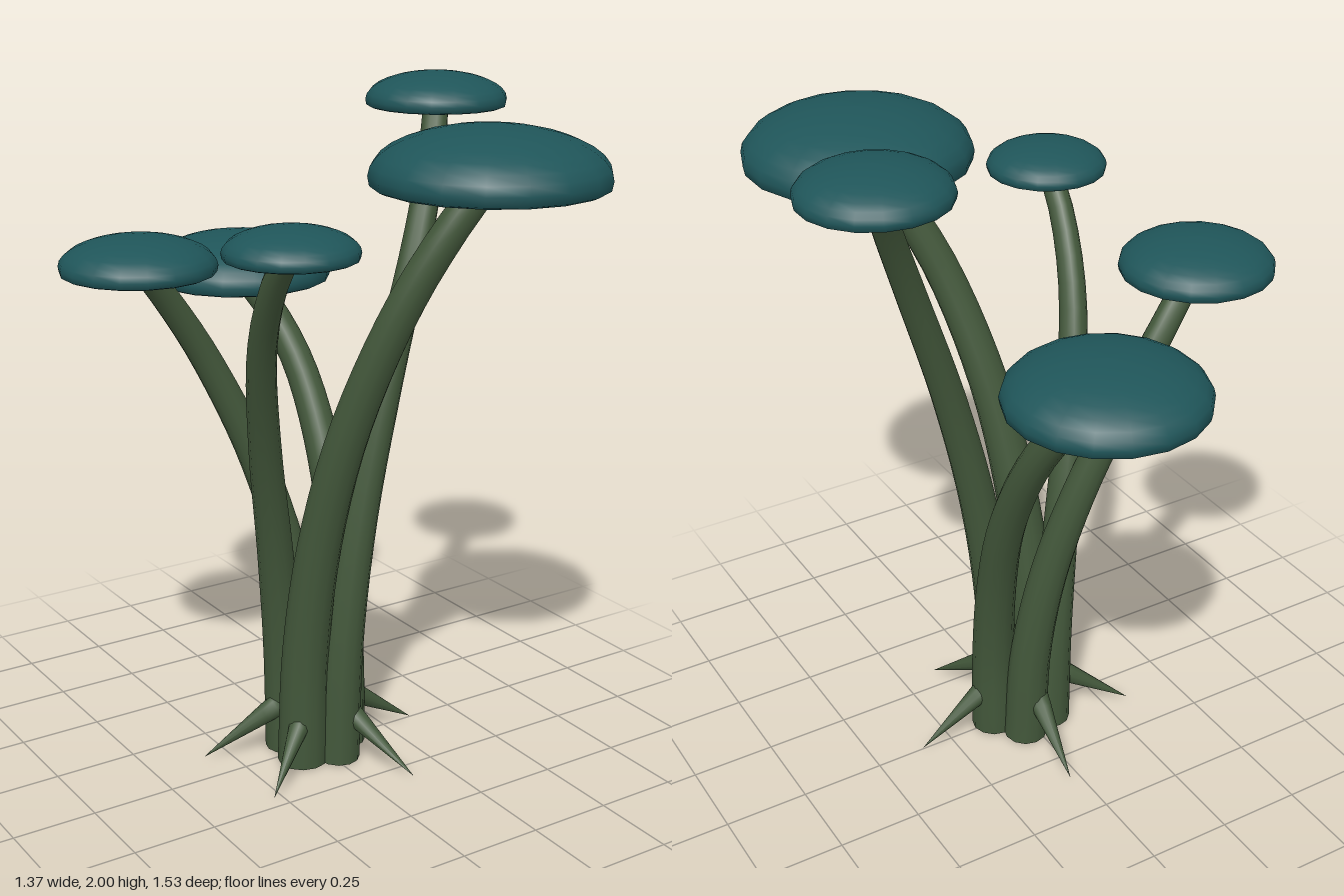
import * as THREE from 'three';

const mat = (name, color, side = THREE.FrontSide) => {
  const m = new THREE.MeshStandardMaterial({ color, side });
  m.name = name;
  return m;
};

// Each mushroom: cap centre x, z, cap radius, rim height, top height, stem radii
const mushrooms = [
  { x: 0.482, z: -0.105, r: 0.207, y0: 1.9, y1: 2.0, foot: 0.066, neck: 0.037 },
  { x: 0.262, z: 0.44, r: 0.325, y0: 1.765, y1: 1.93, foot: 0.075, neck: 0.046 },
  { x: -0.327, z: 0.395, r: 0.178, y0: 1.635, y1: 1.72, foot: 0.064, neck: 0.034 },
  { x: -0.468, z: -0.175, r: 0.22, y0: 1.505, y1: 1.61, foot: 0.067, neck: 0.037 },
  { x: 0.03, z: -0.485, r: 0.28, y0: 1.37, y1: 1.51, foot: 0.069, neck: 0.042 },
];

// Stem path: leans outwards as it rises while swirling round the middle
function stemCurve({ x, z, y0 }) {
  const reach = Math.hypot(x, z), ux = x / reach, uz = z / reach;
  const sway = [[0, 0.092], [0.2, 0.1], [0.4, 0.113], [0.6, 0.124], [0.8, 0.108], [0.92, 0.06], [1, 0]];
  return new THREE.CatmullRomCurve3(sway.map(([t, v]) => {
    const u = reach * Math.pow(t, 2.2);
    return new THREE.Vector3(ux * u - uz * v, t * (y0 + 0.03), uz * u + ux * v);
  }));
}

function taperedTube(curve, r0, r1, steps = 24, sides = 12) {
  const geo = new THREE.TubeGeometry(curve, steps, 1, sides);
  const pos = geo.attributes.position, p = new THREE.Vector3();
  for (let i = 0; i <= steps; i++) {
    const c = curve.getPointAt(i / steps), r = r0 + (r1 - r0) * (i / steps);
    for (let j = 0; j <= sides; j++) {
      const k = i * (sides + 1) + j;
      p.fromBufferAttribute(pos, k).sub(c).multiplyScalar(r).add(c);
      pos.setXYZ(k, p.x, Math.max(p.y, 0), p.z);
    }
  }
  return geo;
}

// Dome with a rounded lip that curls under at the rim
function capProfile(r, h) {
  const lip = h * 0.2;
  const pts = [[0.91, 0.1], [0.94, 0], [0.985, 0.04], [1, 0.2]]
    .map(([x, y]) => new THREE.Vector2(r * x, h * y));
  for (let i = 1; i <= 8; i++) {
    const a = (i / 8) * Math.PI / 2;
    pts.push(new THREE.Vector2(i === 8 ? 0 : r * Math.cos(a), lip + (h - lip) * Math.sin(a)));
  }
  return pts;
}

// Thin light blades radiating under the cap, in varied lengths
function gillShapes(r) {
  const shapes = [], count = 24, lengths = [0.84, 0.62, 0.76, 0.56];
  for (let i = 0; i < count; i++) {
    const a = (i / count) * Math.PI * 2, len = lengths[i % 4] * r;
    const at = (d, w) => new THREE.Vector2(
      d * Math.cos(a) - w * Math.sin(a), d * Math.sin(a) + w * Math.cos(a));
    shapes.push(new THREE.Shape([
      at(r * 0.12, 0), at(r * 0.36, -r * 0.032), at(len, 0), at(r * 0.36, r * 0.032)]));
  }
  return shapes;
}

export function createModel() {
  const stemMat = mat('mossy stem', 0x43583b);
  const capMat = mat('teal cap', 0x1f5559);
  const gillMat = mat('pale gills', 0xa4f0e0, THREE.DoubleSide);
  const model = new THREE.Group();
  model.name = 'mushroomCluster';

  const add = (parent, name, geo, material) => {
    const m = new THREE.Mesh(geo, material);
    m.name = name;
    parent.add(m);
    return m;
  };

  for (const s of mushrooms) {
    const mushroom = new THREE.Group();
    mushroom.name = 'mushroom';
    model.add(mushroom);

    // Stem with a closed foot
    const curve = stemCurve(s), foot = curve.getPoint(0);
    add(mushroom, 'stem', taperedTube(curve, s.foot, s.neck), stemMat);
    const sole = add(mushroom, 'stemFoot', new THREE.CircleGeometry(s.foot, 12), stemMat);
    sole.rotation.x = Math.PI / 2;
    sole.position.set(foot.x, 0.004, foot.z);

    // Cap, recessed underside and gills
    const cap = new THREE.Group(), h = s.y1 - s.y0;
    cap.name = 'cap';
    cap.position.set(s.x, s.y0, s.z);
    mushroom.add(cap);
    add(cap, 'capDome', new THREE.LatheGeometry(capProfile(s.r, h), 18), capMat);
    const under = add(cap, 'capUnderside', new THREE.CircleGeometry(s.r * 0.91, 18), capMat);
    under.rotation.set(Math.PI / 2, 0, Math.PI / 2);
    under.position.y = h * 0.1;
    const gills = add(cap, 'gills', new THREE.ShapeGeometry(gillShapes(s.r)), gillMat);
    gills.rotation.x = Math.PI / 2;
    gills.position.y = h * 0.1 - 0.005;
  }

  // Pointed roots spreading from the foot of the cluster
  for (const deg of [0, 67, 143, 199, 275]) {
    const a = THREE.MathUtils.degToRad(deg), c = Math.cos(a), n = Math.sin(a);
    const top = new THREE.Vector3(c * 0.125, 0.15, n * 0.125);
    const tip = new THREE.Vector3(c * 0.35, 0.003, n * 0.35);
    const dir = tip.clone().sub(top), len = dir.length();
    const profile = [[0, -0.03], [0.024, -0.022], [0.034, 0], [0.03, 0.04], [0, len]];
    const root = add(model, 'root', new THREE.LatheGeometry(
      profile.map(([x, y]) => new THREE.Vector2(x, y)), 10), stemMat);
    root.position.copy(top);
    root.quaternion.setFromUnitVectors(new THREE.Vector3(0, 1, 0), dir.normalize());
  }
  return model;
}
